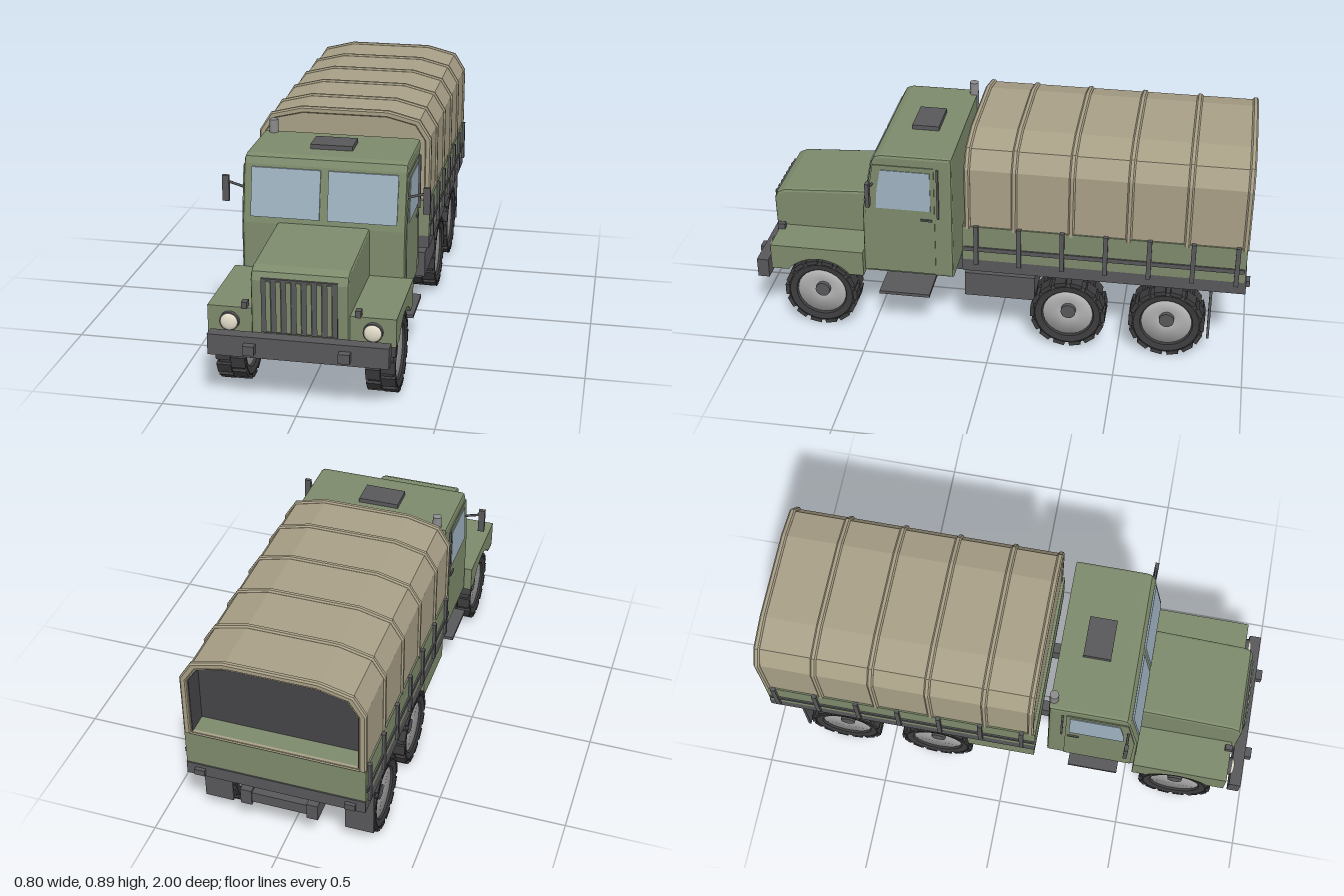
import * as THREE from 'three';

const mat = (color, extra = {}) => new THREE.MeshStandardMaterial({ color, ...extra });
const GREEN = mat(0x7d8a6b), TAN = mat(0xa89f86), DARK = mat(0x58585b), LINING = mat(0x454548);
const TYRE = mat(0x3c3c3e, { flatShading: true }), RIM = mat(0xb4b4b4), GLASS = mat(0x9fb2c0);
const LAMP = mat(0xe2dcc8), PIPE = mat(0x8c8c8e);

export function createModel() {
  const root = new THREE.Group();

  const add = (name, geo, material, parent = root) => {
    const m = new THREE.Mesh(geo, material);
    m.name = name;
    parent.add(m);
    return m;
  };
  // Box from its limits on each axis
  const box = (name, material, [x0, x1], [y0, y1], [z0, z1], parent = root) => {
    const m = add(name, new THREE.BoxGeometry(x1 - x0, y1 - y0, z1 - z0), material, parent);
    m.position.set((x0 + x1) / 2, (y0 + y1) / 2, (z0 + z1) / 2);
    return m;
  };
  // The same box on both sides
  const boxPair = (name, material, [x0, x1], y, z) => {
    box(name + 'Left', material, [x0, x1], y, z);
    box(name + 'Right', material, [-x1, -x0], y, z);
  };
  const shapeOf = (pts) => new THREE.Shape(pts.map(([a, b]) => new THREE.Vector2(a, b)));
  // Side profile in (z, y), extruded from x0 to x1
  const sideExtrude = (name, material, shape, x0, x1, bevel = 0) => {
    const geo = new THREE.ExtrudeGeometry(shape, {
      depth: x1 - x0 - 2 * bevel, curveSegments: 16, bevelEnabled: bevel > 0,
      bevelSize: bevel, bevelThickness: bevel, bevelOffset: -bevel, bevelSegments: 2,
    });
    geo.rotateY(-Math.PI / 2).translate(x1 - bevel, 0, 0);
    return add(name, geo, material);
  };

  // Cab
  sideExtrude('cab', GREEN, shapeOf([[0.165, 0.262], [0.53, 0.262], [0.525, 0.545],
    [0.482, 0.765], [0.468, 0.79], [0.445, 0.798], [0.165, 0.798]]), -0.312, 0.312, 0.012);
  for (const s of [-1, 1]) {
    const lo = (a, b) => (s > 0 ? [a, b] : [-b, -a]);
    sideExtrude('door', GREEN, shapeOf([[0.235, 0.275], [0.512, 0.275], [0.512, 0.545],
      [0.475, 0.755], [0.235, 0.755]]), ...lo(0.305, 0.316));
    sideExtrude('sideWindow', GLASS, shapeOf([[0.25, 0.565], [0.468, 0.565], [0.462, 0.64],
      [0.445, 0.735], [0.25, 0.735]]), ...lo(0.305, 0.319));
    sideExtrude('windshield', GLASS, shapeOf([[0.50, 0.57], [0.526, 0.57], [0.490, 0.755],
      [0.465, 0.755]]), ...lo(0.015, 0.28));
    // Mirror on its arm
    box('mirror', DARK, lo(0.372, 0.398), [0.61, 0.712], [0.473, 0.488]);
    const arm = new THREE.LineCurve3(new THREE.Vector3(s * 0.305, 0.667, 0.48), new THREE.Vector3(s * 0.378, 0.688, 0.48));
    add('mirrorArm', new THREE.TubeGeometry(arm, 1, 0.005, 6), DARK);
  }
  boxPair('grabHandle', DARK, [0.314, 0.323], [0.535, 0.752], [0.216, 0.224]);
  boxPair('doorHandle', DARK, [0.314, 0.322], [0.52, 0.528], [0.245, 0.29]);
  boxPair('step', DARK, [0.15, 0.338], [0.174, 0.187], [0.26, 0.465]);
  box('roofHatch', DARK, [-0.082, 0.082], [0.795, 0.816], [0.257, 0.365]);
  add('exhaustStack', new THREE.CylinderGeometry(0.018, 0.018, 0.35, 12), PIPE).position.set(-0.27, 0.675, 0.178);

  // Hood and grille
  sideExtrude('hood', GREEN, shapeOf([[0.5, 0.265], [0.925, 0.265], [0.928, 0.485],
    [0.915, 0.515], [0.885, 0.53], [0.5, 0.552]]), -0.178, 0.178, 0.012);
  box('grille', DARK, [-0.138, 0.138], [0.288, 0.495], [0.915, 0.933]);
  for (let i = -3; i <= 3; i++)
    box('grilleSlat', GREEN, [i * 0.037 - 0.009, i * 0.037 + 0.009], [0.295, 0.488], [0.925, 0.94]);

  // Fenders with a wheel arch, lamps
  for (const s of [-1, 1]) {
    const f = shapeOf([[0.525, 0.258], [0.585, 0.258]]);
    f.absarc(0.71, 0.15, 0.166, Math.PI - 0.71, 0.71, true);
    [[0.905, 0.258], [0.905, 0.365], [0.525, 0.365]].forEach((p) => f.lineTo(...p));
    f.closePath();
    sideExtrude('fender', GREEN, f, ...(s > 0 ? [0.17, 0.345] : [-0.345, -0.17]));
    const rim = add('headlightRim', new THREE.CylinderGeometry(0.036, 0.036, 0.03, 20), DARK);
    const lens = add('headlight', new THREE.SphereGeometry(0.032, 20, 8, 0, Math.PI * 2, 0, Math.PI / 2), LAMP);
    lens.scale.y = 0.4;
    rim.position.set(s * 0.262, 0.312, 0.905);
    lens.position.set(s * 0.262, 0.312, 0.92);
    rim.rotation.x = lens.rotation.x = Math.PI / 2;
  }
  boxPair('markerLamp', DARK, [0.197, 0.218], [0.362, 0.388], [0.88, 0.91]);

  // Chassis
  box('bumper', DARK, [-0.33, 0.33], [0.202, 0.282], [0.925, 0.972]);
  boxPair('towHook', DARK, [0.152, 0.194], [0.222, 0.258], [0.96, 1.0]);
  boxPair('frameRail', DARK, [0.108, 0.152], [0.202, 0.27], [-0.955, 0.93]);
  for (const z of [0.05, -0.5, -0.93])
    box('crossMember', DARK, [-0.11, 0.11], [0.215, 0.26], [z - 0.02, z + 0.02]);
  boxPair('bedSupport', DARK, [0.108, 0.152], [0.265, 0.33], [-0.93, 0.1]);
  box('toolBox', DARK, [0.16, 0.33], [0.202, 0.306], [-0.165, 0.115]);
  box('fuelTank', GREEN, [-0.33, -0.16], [0.202, 0.306], [-0.165, 0.115]);
  boxPair('mudFlap', DARK, [0.225, 0.338], [0.1, 0.335], [-0.86, -0.85]);

  // Axles and wheels
  const v2 = (pts) => pts.map(([r, y]) => new THREE.Vector2(r, y));
  const tyreGeo = new THREE.LatheGeometry(v2([[0.097, -0.038], [0.105, -0.05], [0.13, -0.055],
    [0.141, -0.046], [0.141, 0.046], [0.13, 0.055], [0.105, 0.05], [0.097, 0.038]]), 28);
  const rimGeo = new THREE.LatheGeometry(v2([[0, -0.018], [0.03, -0.018], [0.1, -0.042],
    [0.1, 0.042], [0.03, 0.018], [0, 0.018]]), 32);
  const hubGeo = new THREE.CylinderGeometry(0.03, 0.03, 0.07, 16);
  const lugGeo = new THREE.BoxGeometry(0.016, 0.054, 0.046);
  const LUGS = 14;
  for (const z of [0.71, -0.298, -0.69]) {
    add('axle', new THREE.CylinderGeometry(0.02, 0.02, 0.5, 12).rotateZ(Math.PI / 2), DARK).position.set(0, 0.15, z);
    const d = shapeOf([[-0.06, 0.115], [-0.045, 0.1], [0.045, 0.1], [0.06, 0.115],
      [0.06, 0.177], [0.045, 0.192], [-0.045, 0.192], [-0.06, 0.177]]);
    add('differential', new THREE.ExtrudeGeometry(d, { depth: 0.1, bevelEnabled: false }), DARK).position.z = z - 0.05;
    for (const s of [-1, 1]) {
      const wheel = new THREE.Group();
      wheel.name = 'wheel';
      add('tyre', tyreGeo, TYRE, wheel);
      add('rim', rimGeo, RIM, wheel);
      add('hub', hubGeo, DARK, wheel);
      for (let i = 0; i < LUGS * 2; i++) {
        const a = (i / LUGS) * Math.PI;
        const lug = add('treadLug', lugGeo, TYRE, wheel);
        lug.position.set(Math.cos(a) * 0.141, i % 2 ? 0.028 : -0.028, Math.sin(a) * 0.141);
        lug.rotation.y = -a;
      }
      wheel.rotation.z = -s * Math.PI / 2;
      wheel.position.set(s * 0.279, 0.15, z);
      root.add(wheel);
    }
  }

  // Cargo bed
  box('bedFloor', DARK, [-0.345, 0.345], [0.328, 0.38], [-0.985, 0.12]);
  box('bedBoards', GREEN, [-0.345, 0.345], [0.38, 0.53], [-0.98, 0.12]);
  boxPair('bedRail', DARK, [0.34, 0.351], [0.422, 0.44], [-0.975, 0.115]);
  for (let i = 0; i < 7; i++) {
    const z = 0.065 - i * 0.1685;
    boxPair('bedPost', DARK, [0.34, 0.356], [0.365, 0.535], [z - 0.009, z + 0.009]);
  }
  boxPair('tailLamp', DARK, [0.27, 0.31], [0.34, 0.365], [-1.0, -0.98]);

  // Canvas cover: an open-backed shell over hoops; t is the inset from the outline
  const outline = (t) => {
    const right = [[0.345 - t, 0.525], [0.345 - t, 0.78 - t * 0.3], [0.3 - t * 0.8, 0.853 - t * 0.8], [0.175 - t * 0.3, 0.885 - t]];
    return right.concat(right.map(([x, y]) => [-x, y]).reverse());
  };
  const hoop = (name, material, t0, t1, z0, z1, bevel = 0) => {
    const shape = shapeOf(outline(t0 + bevel));
    shape.holes.push(new THREE.Path(shapeOf(outline(t1)).getPoints()));
    const geo = new THREE.ExtrudeGeometry(shape, {
      depth: z1 - z0 - 2 * bevel, bevelEnabled: bevel > 0, bevelSize: bevel, bevelThickness: bevel, bevelSegments: 1,
    });
    add(name, geo, material).position.z = z0 + bevel;
  };
  const panel = (name, material, t, z0, z1) =>
    add(name, new THREE.ExtrudeGeometry(shapeOf(outline(t)), { depth: z1 - z0, bevelEnabled: false }), material).position.z = z0;
  hoop('canvasCover', TAN, 0.006, 0.028, -0.98, 0.108);
  hoop('canvasLining', LINING, 0.027, 0.031, -0.975, -0.87);
  panel('canvasFront', TAN, 0.02, 0.09, 0.107);
  panel('canvasInterior', LINING, 0.02, -0.89, -0.88);
  for (const z of [0.1, -0.083, -0.305, -0.527, -0.75, -0.972])
    hoop('canvasRib', TAN, -0.001, 0.02, z - 0.012, z + 0.012, 0.006);

  return root;
}
